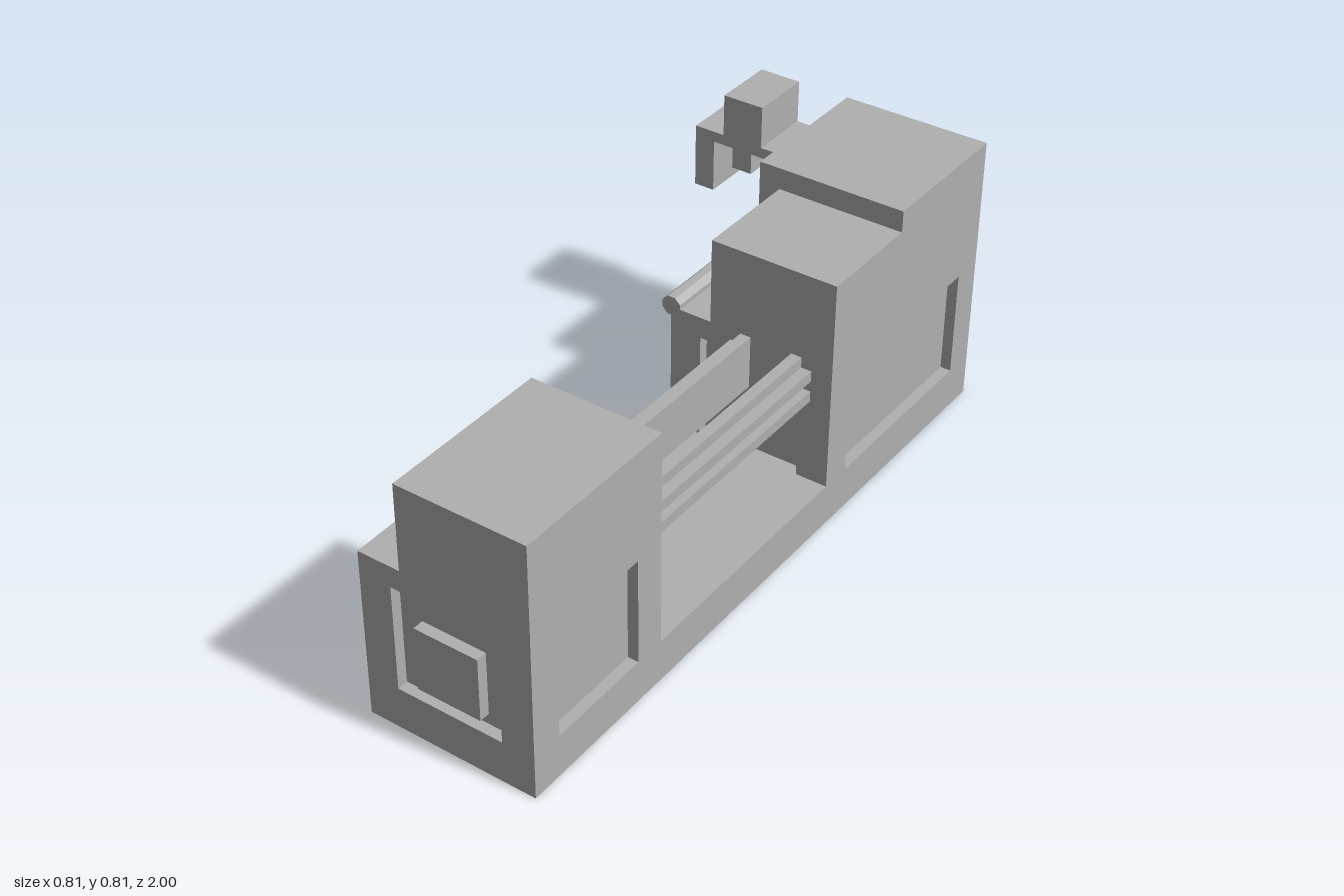
import * as THREE from 'three';

const DEPTH = 0.031;    // depth of the sunken panels
const MARGIN = 0.094;   // border beside each sunken panel
const LEFT = 0.406, RIGHT = -0.094, MID = (LEFT + RIGHT) / 2;
const LEDGE = 0.5;      // height of the lower housings

export function createModel() {
  const group = new THREE.Group();
  const gray = new THREE.MeshStandardMaterial({ color: 0xb0b0b0 });
  gray.name = 'machineGray';

  const add = (parent, name, geometry) => {
    const mesh = new THREE.Mesh(geometry, gray);
    mesh.name = name;
    parent.add(mesh);
    return mesh;
  };

  // Box given by its limits on each axis
  const box = (parent, name, [x0, x1], [y0, y1], [z0, z1]) => {
    const mesh = add(parent, name, new THREE.BoxGeometry(x1 - x0, y1 - y0, z1 - z0));
    mesh.position.set((x0 + x1) / 2, (y0 + y1) / 2, (z0 + z1) / 2);
    return mesh;
  };

  // Outline in x and y, swept along z
  const sweep = (parent, name, points, z0, z1) => {
    const shape = new THREE.Shape(points.map(([x, y]) => new THREE.Vector2(x, y)));
    const geometry = new THREE.ExtrudeGeometry(shape, { depth: z1 - z0, bevelEnabled: false });
    geometry.translate(0, 0, z0);
    return add(parent, name, geometry);
  };

  // Wall of a housing with a rectangular opening, its outer face towards +z
  const frame = (width, margin) => {
    const w = width / 2, h = w - margin;
    const rect = (a, y0, y1) => [[-a, y0], [a, y0], [a, y1], [-a, y1]].map(p => new THREE.Vector2(...p));
    const shape = new THREE.Shape(rect(w, 0, LEDGE));
    shape.holes.push(new THREE.Path(rect(h, 0.125, 0.4375).reverse()));
    return new THREE.ExtrudeGeometry(shape, { depth: DEPTH, bevelEnabled: false });
  };

  // Lower housing: inset core with four framed walls; outer end carries a raised plate
  const housing = (name, z0, z1, outer) => {
    const part = new THREE.Group();
    part.name = name;
    group.add(part);
    const zm = (z0 + z1) / 2, length = z1 - z0;
    box(part, 'core', [RIGHT + DEPTH, LEFT - DEPTH], [0, LEDGE], [z0 + DEPTH, z1 - DEPTH]);
    for (const s of [1, -1]) {
      const end = add(part, 'endWall', frame(LEFT - RIGHT, MARGIN));
      end.position.set(MID, 0, zm + s * (length / 2 - DEPTH));
      if (s < 0) end.rotation.y = Math.PI;
      const side = add(part, 'sideWall', frame(length - 2 * DEPTH, MARGIN - DEPTH));
      side.position.set(MID + s * ((LEFT - RIGHT) / 2 - DEPTH), 0, zm);
      side.rotation.y = s * Math.PI / 2;
    }
    const face = outer > 0 ? z1 : z0;
    box(part, 'endPlate', [0.0625, 0.25], [0.158, 0.345],
      outer > 0 ? [face - DEPTH, face] : [face, face + DEPTH]);
    return part;
  };

  const front = housing('frontHousing', 0.5, 1, 1);
  box(front, 'frontTower', [0.031, LEFT], [LEDGE, 0.75], [0.5, 1]);

  const back = housing('backHousing', -1, -0.25, -1);
  box(back, 'innerTower', [0.031, LEFT], [LEDGE, 0.75], [-0.565, -0.25]);
  box(back, 'backTower', [-0.031, LEFT], [LEDGE, 0.8125], [-1, -0.565]);

  // Low bed joining the housings
  box(group, 'bed', [RIGHT, LEFT], [0, 0.125], [-0.25, 0.5]);

  // Two mirrored rails: a tall spine with two ridges on the outer side
  const rail = s => [[-0.0625, 0.344], [-0.094, 0.344], [-0.094, 0.5], [-0.0625, 0.5],
    [-0.0625, 0.469], [-0.125, 0.469], [-0.125, 0.4375], [-0.0625, 0.4375],
    [-0.0625, 0.406], [-0.125, 0.406], [-0.125, 0.375], [-0.0625, 0.375]]
    .map(([x, y]) => [0.219 + s * (x === -0.0625 ? 0.094 : x === -0.094 ? 0.0625 : 0.125), y]);
  sweep(group, 'leftRail', rail(1), -0.25, 0.5);
  sweep(group, 'rightRail', rail(-1), -0.25, 0.5);

  // Eight-sided rod along the ledge
  const rodGeometry = new THREE.CylinderGeometry(0.0303, 0.0303, 0.75, 8).toNonIndexed();
  rodGeometry.computeVertexNormals();
  rodGeometry.rotateY(Math.PI / 8).rotateX(Math.PI / 2);
  add(group, 'rod', rodGeometry).position.set(-0.094, 0.502, -0.625);

  // Forked bracket beside the rod
  const half = [[0.0625, 0.8125], [0.0625, 0.6875], [0.156, 0.6875], [0.156, 0.5],
    [0.094, 0.5], [0.094, 0.656], [0.031, 0.656], [0.031, 0.594]];
  const mirrored = half.map(([x, y]) => [-x, y]).reverse();
  sweep(group, 'forkBracket', [...half, ...mirrored].map(([x, y]) => [x - 0.25, y]), -1, -0.8125);

  return group;
}
